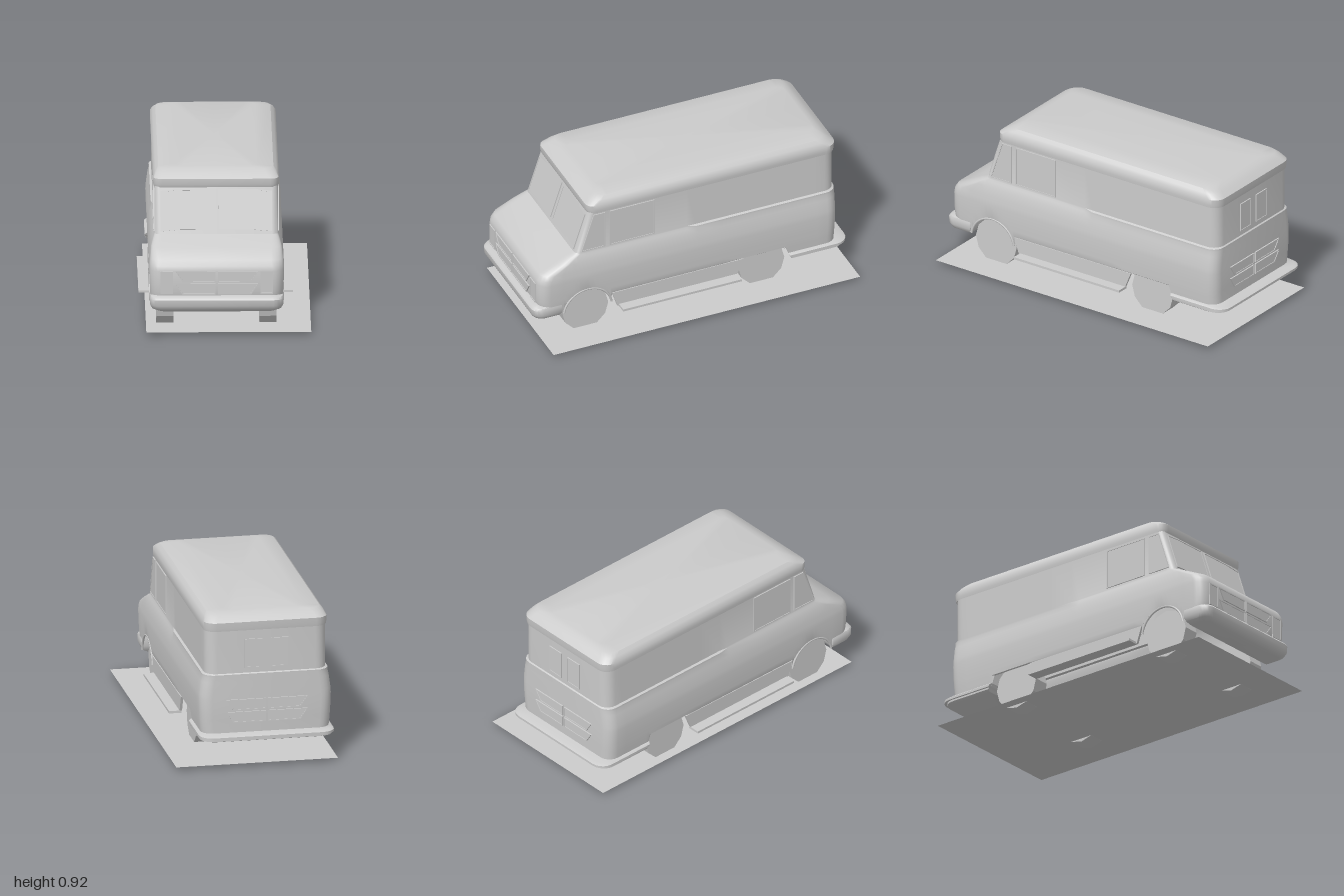
import * as THREE from 'three';
import { toCreasedNormals } from 'three/addons/utils/BufferGeometryUtils.js';

const grey = new THREE.MeshStandardMaterial({ color: 0xcccccc, side: THREE.DoubleSide });
const flat = new THREE.MeshStandardMaterial({ color: 0xcccccc, flatShading: true });

function add(parent, name, geo, mat = grey) {
  const mesh = new THREE.Mesh(geo, mat);
  mesh.name = name;
  parent.add(mesh);
  return mesh;
}

// Rounded plan outline at one height, mirrored about x = 0
function planRing({ w, zf, zb, rf, rb }, sideZ) {
  const half = [[0, zb]];
  const N = 5;
  for (let i = 0; i <= N; i++) {
    const a = (i / N) * Math.PI / 2;
    half.push([w - rb + rb * Math.sin(a), zb + rb - rb * Math.cos(a)]);
  }
  for (const z of sideZ) half.push([w, Math.min(Math.max(z, zb + rb), zf - rf)]);
  for (let i = 0; i <= N; i++) {
    const a = (i / N) * Math.PI / 2;
    half.push([w - rf + rf * Math.cos(a), zf - rf + rf * Math.sin(a)]);
  }
  half.push([0, zf]);
  return half.concat(half.slice(1, -1).reverse().map(([x, z]) => [-x, z]));
}

// Skin stacked rings; rows are [y, halfWidth, zFront, zBack, frontRadius, backRadius]
function loft(rows, { sideZ = [], top = true, bottom = true, adjust } = {}) {
  const pos = [], idx = [];
  const rings = rows.map(([y, w, zf, zb, rf, rb]) =>
    planRing({ w, zf, zb, rf, rb }, sideZ).map(([x, z]) => {
      const p = new THREE.Vector3(x, y, z);
      if (adjust) adjust(p);
      return p;
    }));
  const n = rings[0].length;
  for (const ring of rings) for (const p of ring) pos.push(p.x, p.y, p.z);
  for (let i = 0; i < rings.length - 1; i++) {
    for (let j = 0; j < n; j++) {
      const k = (j + 1) % n;
      const a = i * n + j, b = i * n + k, c = b + n, d = a + n;
      idx.push(a, c, b, a, d, c);
    }
  }
  const cap = (i, up) => {
    const centre = pos.length / 3, r = rows[i];
    pos.push(0, r[0], (r[2] + r[3]) / 2);
    for (let j = 0; j < n; j++) {
      const p = i * n + j, q = i * n + (j + 1) % n;
      idx.push(centre, up ? q : p, up ? p : q);
    }
  };
  if (top) cap(rings.length - 1, true);
  if (bottom) cap(0, false);
  const geo = new THREE.BufferGeometry();
  geo.setAttribute('position', new THREE.Float32BufferAttribute(pos, 3));
  geo.setIndex(idx);
  return toCreasedNormals(geo, 0.7);
}

function extrude(shape, depth) {
  return new THREE.ExtrudeGeometry(shape, { depth, bevelEnabled: false }).translate(0, 0, -depth / 2);
}

// Thin frame around a flat pane
function framedPanel(parent, name, pts, frame = 0.006) {
  const group = new THREE.Group();
  group.name = name;
  const v = pts.map(([x, y]) => new THREE.Vector2(x, y));
  const c = v.reduce((s, p) => s.add(p), new THREE.Vector2()).divideScalar(v.length);
  const inner = v.map(p => new THREE.Vector2(
    p.x - Math.sign(p.x - c.x) * frame, p.y - Math.sign(p.y - c.y) * frame));
  const ring = new THREE.Shape(v);
  ring.holes.push(new THREE.Path(inner));
  add(group, 'frame', extrude(ring, 0.012));
  add(group, 'pane', extrude(new THREE.Shape(inner), 0.005));
  parent.add(group);
  return group;
}

const mirrorX = pts => pts.map(([x, y]) => [-x, y]).reverse();

// Lower edge of the body along its length, with the front wheel arch
function sillHeight(z) {
  const dz = z - 0.66, r = 0.155;
  if (Math.abs(dz) < r) return Math.max(0.17, 0.15 + Math.sqrt(r * r - dz * dz));
  if (z > 0.66) return 0.17;
  if (z > -0.33) return 0.225;
  return z > -0.61 ? 0.235 : 0.18;
}

export function createModel() {
  const model = new THREE.Group();
  model.name = 'stepVan';
  const van = new THREE.Group();
  van.name = 'van';
  van.position.x = -0.05;
  model.add(van);

  // Body shell: flared lower half, sloping hood, upright cabin
  const sideZ = [-0.8, -0.64, -0.62, -0.6, -0.33, -0.2, -0.04, 0.02, 0.25, 0.45, 0.5];
  for (let i = 0; i <= 16; i++) sideZ.push(0.66 - 0.156 * Math.cos(i / 16 * Math.PI));
  add(van, 'body', loft([
    [0.17, 0.380, 0.945, -0.93, 0.07, 0.07],
    [0.24, 0.386, 0.960, -0.932, 0.07, 0.07],
    [0.27, 0.388, 0.964, -0.933, 0.07, 0.07],
    [0.31, 0.390, 0.965, -0.935, 0.07, 0.07],
    [0.39, 0.393, 0.965, -0.935, 0.07, 0.07],
    [0.42, 0.391, 0.960, -0.935, 0.07, 0.07],
    [0.45, 0.387, 0.940, -0.935, 0.07, 0.07],
    [0.50, 0.380, 0.835, -0.935, 0.06, 0.07],
    [0.53, 0.368, 0.775, -0.935, 0.05, 0.07],
    [0.544, 0.362, 0.738, -0.935, 0.04, 0.07],
    [0.55, 0.360, 0.725, -0.928, 0.035, 0.07],
    [0.83, 0.360, 0.634, -0.928, 0.035, 0.07],
  ], {
    sideZ, bottom: false,
    adjust: p => {
      // Belt ledge along the rear half
      if (p.y > 0.52 && p.y < 0.547 && p.z < 0.02) p.x += Math.sign(p.x) * (p.y - 0.52) * 0.45;
      p.y = Math.max(p.y, sillHeight(p.z));
    },
  }));

  // Roof cap with overhanging rim
  add(van, 'roof', loft([
    [0.825, 0.355, 0.628, -0.925, 0.04, 0.07],
    [0.810, 0.364, 0.642, -0.935, 0.05, 0.07],
    [0.828, 0.366, 0.648, -0.938, 0.05, 0.07],
    [0.862, 0.366, 0.648, -0.940, 0.05, 0.07],
    [0.888, 0.352, 0.612, -0.910, 0.06, 0.07],
    [0.906, 0.335, 0.575, -0.880, 0.06, 0.07],
    [0.915, 0.240, 0.540, -0.850, 0.04, 0.05],
  ]));

  // Bumpers
  add(van, 'frontBumper', loft([
    [0.150, 0.350, 0.965, 0.84, 0.06, 0.005],
    [0.165, 0.378, 0.985, 0.83, 0.06, 0.005],
    [0.190, 0.389, 0.998, 0.82, 0.06, 0.005],
    [0.225, 0.389, 1.000, 0.82, 0.06, 0.005],
    [0.238, 0.385, 0.990, 0.82, 0.06, 0.005],
    [0.246, 0.370, 0.960, 0.82, 0.06, 0.005],
  ]));
  add(van, 'rearBumper', loft([
    [0.146, 0.380, -0.64, -0.960, 0.005, 0.08],
    [0.155, 0.393, -0.635, -0.985, 0.005, 0.08],
    [0.166, 0.393, -0.63, -0.985, 0.005, 0.08],
    [0.168, 0.400, -0.628, -1.000, 0.005, 0.08],
    [0.182, 0.400, -0.62, -1.000, 0.005, 0.08],
    [0.190, 0.390, -0.615, -0.980, 0.005, 0.08],
  ]));

  // Windshield halves, leaning with the cabin front
  const windshield = new THREE.Group();
  windshield.name = 'windshield';
  windshield.position.set(0, 0.55, 0.726);
  windshield.rotation.x = -Math.atan(0.091 / 0.28);
  van.add(windshield);
  const glass = [[0.012, 0.026], [0.21, 0.026], [0.325, 0.016], [0.325, 0.252], [0.23, 0.262], [0.012, 0.262]];
  framedPanel(windshield, 'leftWindshield', glass);
  framedPanel(windshield, 'rightWindshield', mirrorX(glass));

  // Grille panels front and rear, headlight panels, rear windows
  const trapezoid = (y0, y1) => [[0.007, y0], [0.2, y0], [0.24, y1], [0.007, y1]];
  const rect = (x0, x1, y0, y1) => [[x0, y0], [x1, y0], [x1, y1], [x0, y1]];
  const onFace = (name, pts, z) => {
    for (const p of [pts, mirrorX(pts)]) framedPanel(van, name, p).position.z = z;
  };
  for (const [y0, y1] of [[0.252, 0.317], [0.327, 0.392]]) {
    onFace('frontGrille', trapezoid(y0, y1), 0.966);
    onFace('rearGrille', trapezoid(y0, y1), -0.937);
  }
  onFace('headlightPanel', rect(0.255, 0.328, 0.256, 0.39), 0.965);
  onFace('rearWindow', rect(0.025, 0.13, 0.58, 0.755), -0.929);

  for (const s of [1, -1]) {
    const side = s > 0 ? 'left' : 'right';

    // Cab side windows
    for (const [name, pts] of [
      ['VentWindow', [[0.54, 0.56], [0.69, 0.56], [0.612, 0.8], [0.54, 0.8]]],
      ['DoorWindow', rect(0.225, 0.51, 0.56, 0.8)],
    ]) {
      const win = framedPanel(van, side + name, pts);
      win.rotation.y = -Math.PI / 2;
      win.position.x = s * 0.36;
    }

    // Side skirt and running board
    const skirt = new THREE.Shape([[0.505, 0.23], [0.47, 0.128], [-0.29, 0.138], [-0.33, 0.235]]
      .map(p => new THREE.Vector2(...p)));
    add(van, side + 'Skirt', extrude(skirt, 0.015).rotateY(-Math.PI / 2).translate(s * 0.38, 0, 0));
    add(van, side + 'RunningBoard', new THREE.BoxGeometry(0.075, 0.014, 0.755).translate(s * 0.4125, 0.133, 0.085));

    // Wheel arch lip
    add(van, side + 'ArchLip', new THREE.TorusGeometry(0.153, 0.007, 6, 20, Math.PI * 0.9)
      .rotateZ(Math.PI * 0.05).rotateY(Math.PI / 2).translate(s * 0.386, 0.15, 0.66));

    // Wheels
    for (const [end, z] of [['Front', 0.66], ['Rear', -0.46]]) {
      add(van, side + end + 'Wheel', new THREE.CylinderGeometry(0.146, 0.146, 0.1, 12)
        .rotateZ(Math.PI / 2).translate(s * 0.3, 0.146, z), flat);
    }
  }

  // Ground sheet under the van
  add(model, 'baseSheet', new THREE.PlaneGeometry(0.96, 1.95)
    .rotateX(-Math.PI / 2).translate(0.02, 0.02, -0.025));

  return model;
}
